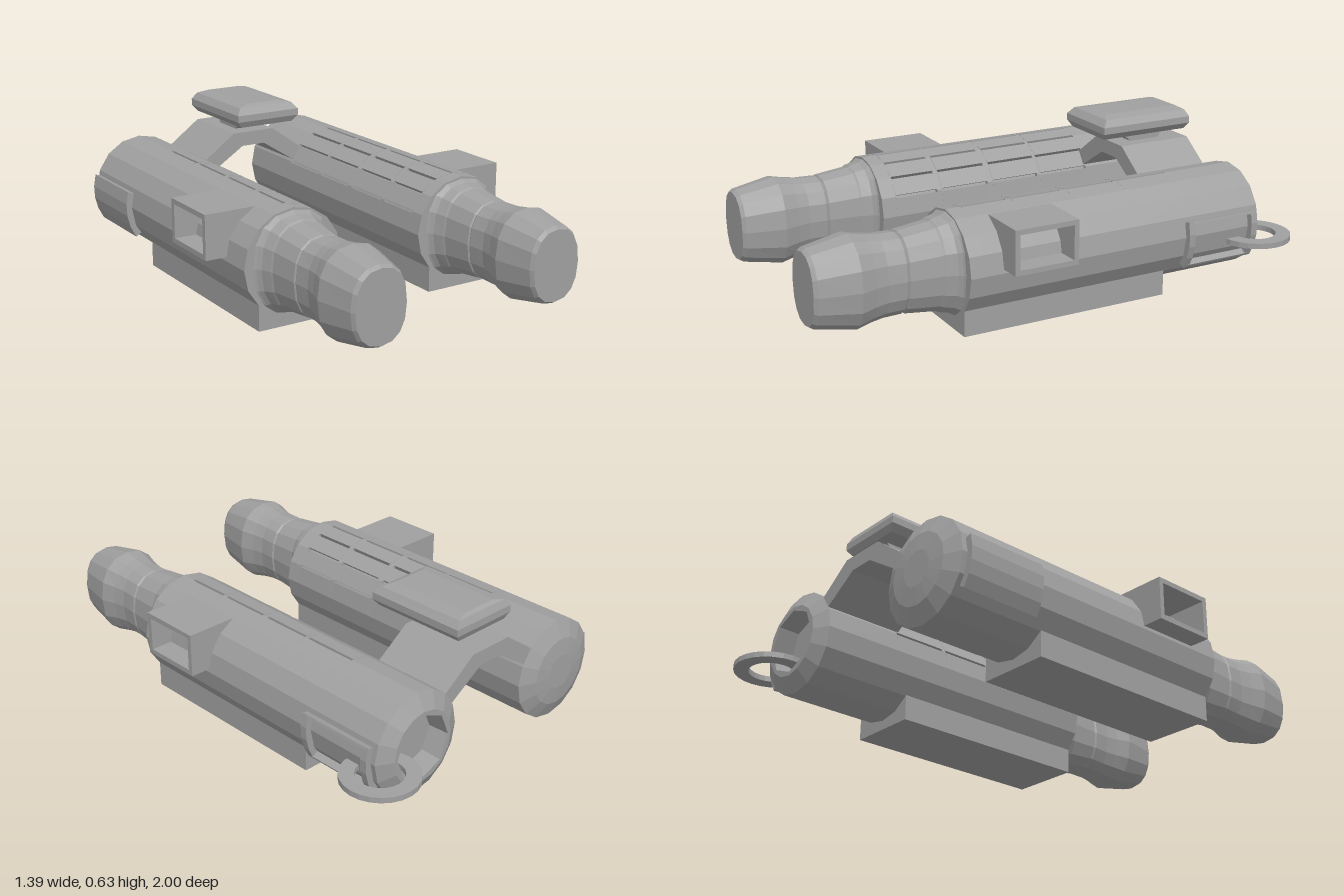
import * as THREE from 'three';

const SIDES = 16, R = 0.207, TUBE_X = 0.3875, TUBE_Y = 0.245;

export function createModel() {
  const grey = new THREE.MeshStandardMaterial({ color: 0xa0a0a0 });
  grey.name = 'grey';
  const root = new THREE.Group();
  root.name = 'binoculars';
  const model = new THREE.Group();
  model.name = 'assembly';
  model.position.x = -0.0225;
  root.add(model);

  const add = (parent, name, geo, x = 0, y = 0, z = 0) => {
    const m = new THREE.Mesh(geo, grey);
    m.name = name;
    m.position.set(x, y, z);
    parent.add(m);
    return m;
  };
  const box = (w, h, d) => new THREE.BoxGeometry(w, h, d);
  const extrude = (shape, depth, curveSegments = 8) =>
    new THREE.ExtrudeGeometry(shape, { depth, bevelEnabled: false, curveSegments });
  const poly = pts => new THREE.Shape(pts.map(p => new THREE.Vector2(...p)));
  const polar = (r, a) => [r * Math.cos(a), r * Math.sin(a)];

  // Flat-shaded, capped skin over counter-clockwise cross-sections { z, pts }
  const loft = sections => {
    const n = sections[0].pts.length, pos = [], idx = [];
    for (const s of sections) for (const [x, y] of s.pts) pos.push(x, y, s.z);
    for (let k = 0; k < sections.length - 1; k++)
      for (let i = 0; i < n; i++) {
        const a = k * n + i, b = k * n + (i + 1) % n;
        idx.push(a, b, b + n, a, b + n, a + n);
      }
    const last = (sections.length - 1) * n;
    for (let i = 1; i < n - 1; i++) idx.push(0, i + 1, i, last, last + i, last + i + 1);
    const g = new THREE.BufferGeometry();
    g.setAttribute('position', new THREE.Float32BufferAttribute(pos, 3));
    g.setIndex(idx);
    const flat = g.toNonIndexed();
    flat.computeVertexNormals();
    return flat;
  };
  // Rounded oval ring of points; power 1 gives a circle, lower is boxier
  const oval = (hx, hy, power = 1) => Array.from({ length: SIDES }, (_, i) => {
    const [c, s] = polar(1, i / SIDES * Math.PI * 2);
    const f = v => Math.sign(v) * Math.abs(v) ** power;
    return [hx * f(c), hy * f(s)];
  });
  const octagon = r => Array.from({ length: SIDES }, (_, i) =>
    polar(i % 2 ? r * Math.cos(Math.PI / 8) : r, i / SIDES * Math.PI * 2));

  // Barrel outline, with narrow notches along the upper inner edges
  const barrelShape = (s, slotted) => {
    const pts = [], w = 0.03;
    for (let i = 0; i < SIDES; i++) {
      const a = i / SIDES * Math.PI * 2;
      const steps = (i - 4) * s;
      if (slotted && steps >= 0 && steps <= 3)
        pts.push(polar(R, a - w), polar(R - 0.02, a - w), polar(R - 0.02, a + w), polar(R, a + w));
      else pts.push(polar(R, a));
    }
    return poly(pts);
  };
  const slots = [[-0.53, -0.3], [-0.285, -0.07], [-0.045, 0.168], [0.19, 0.377]];

  // Curved plate around the barrel side, between two angles in degrees
  const band = (s, a0, a1) => {
    const pts = [], n = 4;
    for (let i = 0; i <= n; i++) pts.push(polar(0.231, THREE.MathUtils.degToRad(a0 + (a1 - a0) * i / n)));
    for (let i = n; i >= 0; i--) pts.push(polar(0.195, THREE.MathUtils.degToRad(a0 + (a1 - a0) * i / n)));
    return poly(pts.map(([x, y]) => [x * s, y]));
  };

  for (const s of [-1, 1]) {
    const tube = new THREE.Group();
    tube.name = s > 0 ? 'leftTube' : 'rightTube';
    tube.position.set(s * TUBE_X, TUBE_Y, 0);
    model.add(tube);

    // Barrel, alternating plain and slotted lengths
    let z = -0.78;
    for (const [a, b] of slots) {
      add(tube, 'barrel', extrude(barrelShape(s, false), a - z), 0, 0, z);
      add(tube, 'slottedBarrel', extrude(barrelShape(s, true), b - a), 0, 0, a);
      z = b;
    }
    add(tube, 'barrel', extrude(barrelShape(s, false), 0.44 - z), 0, 0, z);

    // Rear cap: recessed on one tube, closed on the other
    const rim = [{ z: -0.85, pts: oval(R, R) }, { z: -0.78, pts: oval(R, R) }];
    add(tube, 'rearCap', loft(s > 0
      ? [{ z: -0.80, pts: octagon(0.125) }, { z: -0.885, pts: octagon(0.13) },
        { z: -0.885, pts: oval(0.145, 0.145) }, ...rim]
      : [{ z: -0.888, pts: oval(0.07, 0.07) }, { z: -0.88, pts: oval(0.14, 0.14) }, ...rim]));

    // Eyepiece: z, half width, half height
    const profile = [[0.43, 0.185, 0.2], [0.445, 0.16, 0.197], [0.46, 0.147, 0.187], [0.5, 0.133, 0.178],
      [0.508, 0.129, 0.172], [0.635, 0.119, 0.157], [0.64, 0.114, 0.15], [0.648, 0.119, 0.155],
      [0.72, 0.115, 0.158], [0.77, 0.125, 0.165], [0.83, 0.145, 0.178], [0.985, 0.115, 0.149],
      [1, 0.105, 0.139]];
    add(tube, 'eyepiece', loft(profile.map(([pz, hx, hy]) => ({ z: pz, pts: oval(hx, hy, 0.85) }))));

    // Flat foot under the barrel
    add(tube, 'foot', box(0.297, 0.15, 0.88), 0, 0.075 - TUBE_Y, 0);

    // Open square housing on the outer side
    const frame = poly([[-0.305, 0.26], [-0.04, 0.26], [-0.04, 0.435], [-0.305, 0.435]]);
    frame.holes.push(poly([[-0.285, 0.28], [-0.285, 0.415], [-0.06, 0.415], [-0.06, 0.28]]));
    const housing = extrude(frame, 0.21).rotateY(Math.PI / 2);
    add(tube, 'sideHousing', housing, (s > 0 ? 0.4675 : -0.6775) - s * TUBE_X, -TUBE_Y, 0);

    // Side plate near the rear: a frame on the ring side, solid on the other
    if (s > 0) {
      for (const pz of [-0.83, -0.53]) add(tube, 'plateEnd', extrude(band(s, -34, 17), 0.028), 0, 0, pz);
      for (const a of [-34, 14]) add(tube, 'plateEdge', extrude(band(s, a, a + 3), 0.3), 0, 0, -0.82);
    } else add(tube, 'sidePlate', extrude(band(s, -34, 17), 0.33), 0, 0, -0.83);
  }

  // Strap ring through the rear of one tube
  const ring = new THREE.Shape().absarc(0, 0, 0.148, 0, Math.PI * 2, false);
  ring.holes.push(new THREE.Path().absarc(0, 0, 0.09, 0, Math.PI * 2, true));
  add(model, 'strapRing', extrude(ring, 0.022, 12).rotateX(-Math.PI / 2), 0.568, 0.183, -0.852);

  // Arched bridge between the tubes
  const half = [[0.24, 0.31], [0.29, 0.35], [0.097, 0.49]];
  const bridge = poly([[0.053, 0.43], ...half, ...half.slice().reverse().map(([x, y]) => [-x, y]), [-0.053, 0.43]]);
  add(model, 'bridge', extrude(bridge, 0.33), 0, 0, -0.85);

  // Focus stem and bevelled knob: y, half width, rear z, front z
  const slab = rows => loft(rows.map(([y, hx, z0, z1]) => ({
    z: y, pts: [[-hx, -z1], [hx, -z1], [hx, -z0], [-hx, -z0]],
  }))).rotateX(-Math.PI / 2);
  add(model, 'focusStem', slab([[0.48, 0.043, -0.73, -0.61], [0.545, 0.043, -0.77, -0.535]]));
  add(model, 'focusKnob', slab([[0.54, 0.124, -0.805, -0.412], [0.567, 0.146, -0.818, -0.397],
    [0.595, 0.146, -0.818, -0.397], [0.622, 0.125, -0.805, -0.42], [0.632, 0.075, -0.79, -0.445]]),
    0.006);

  return root;
}
